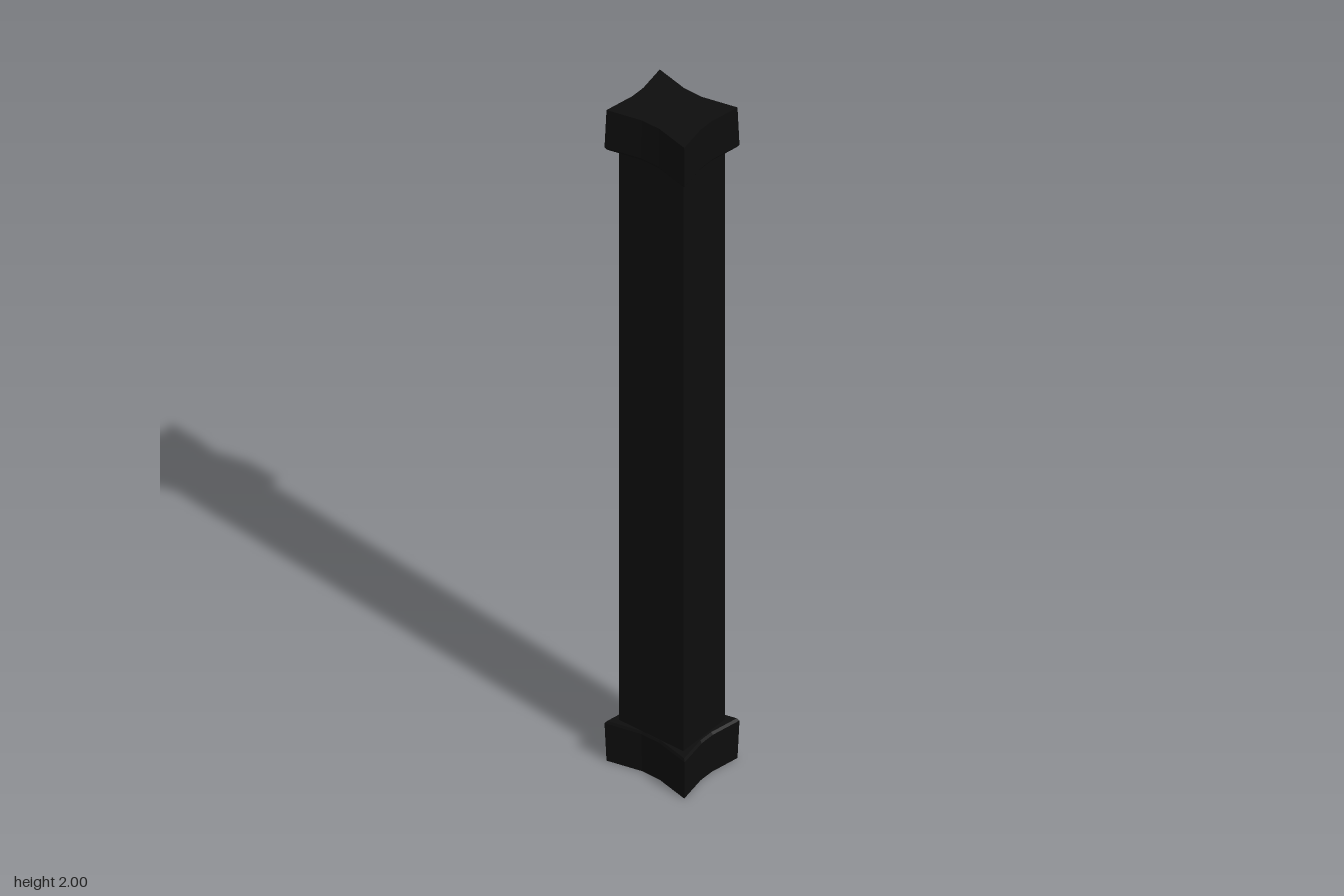
import * as THREE from 'three';

const material = new THREE.MeshStandardMaterial({ color: 0x0d0d0d, flatShading: true });

// Four-pointed outline: sharp corners, shallow notches with a short flat between them
function capOutline() {
  const quarter = [[0.085, 0.028], [0.107, 0.125], [0.022, 0.11]];
  const points = [];
  for (const [sx, sy] of [[1, 1], [-1, 1], [-1, -1], [1, -1]]) {
    const part = quarter.map(([x, y]) => new THREE.Vector2(x * sx, y * sy));
    points.push(...(sx * sy > 0 ? part : part.reverse()));
  }
  return new THREE.Shape(points);
}

// Cap standing on y = 0, slightly narrower at its outer end and bevelled at the inner rim
function capGeometry() {
  const levels = [[0, 0.97], [0.115, 1], [0.122, 0.96]]; // height, scale
  const geometry = new THREE.ExtrudeGeometry(capOutline(), { depth: 2, steps: 2, bevelEnabled: false });
  const p = geometry.attributes.position;
  for (let i = 0; i < p.count; i++) {
    const [height, scale] = levels[Math.round(p.getZ(i))];
    p.setXYZ(i, p.getX(i) * scale, p.getY(i) * scale, height);
  }
  geometry.rotateX(-Math.PI / 2);
  geometry.computeVertexNormals();
  return geometry;
}

export function createModel() {
  const model = new THREE.Group();
  model.name = 'post';

  // Plain rectangular shaft running between the caps
  const shaft = new THREE.Mesh(new THREE.BoxGeometry(0.162, 1.8, 0.2), material);
  shaft.name = 'shaft';
  shaft.position.y = 1;
  model.add(shaft);

  // Matching caps, the upper one turned over
  const geometry = capGeometry();
  const bottomCap = new THREE.Mesh(geometry, material);
  bottomCap.name = 'bottomCap';
  const topCap = new THREE.Mesh(geometry, material);
  topCap.name = 'topCap';
  topCap.rotation.x = Math.PI;
  topCap.position.y = 2;
  model.add(bottomCap, topCap);

  return model;
}
